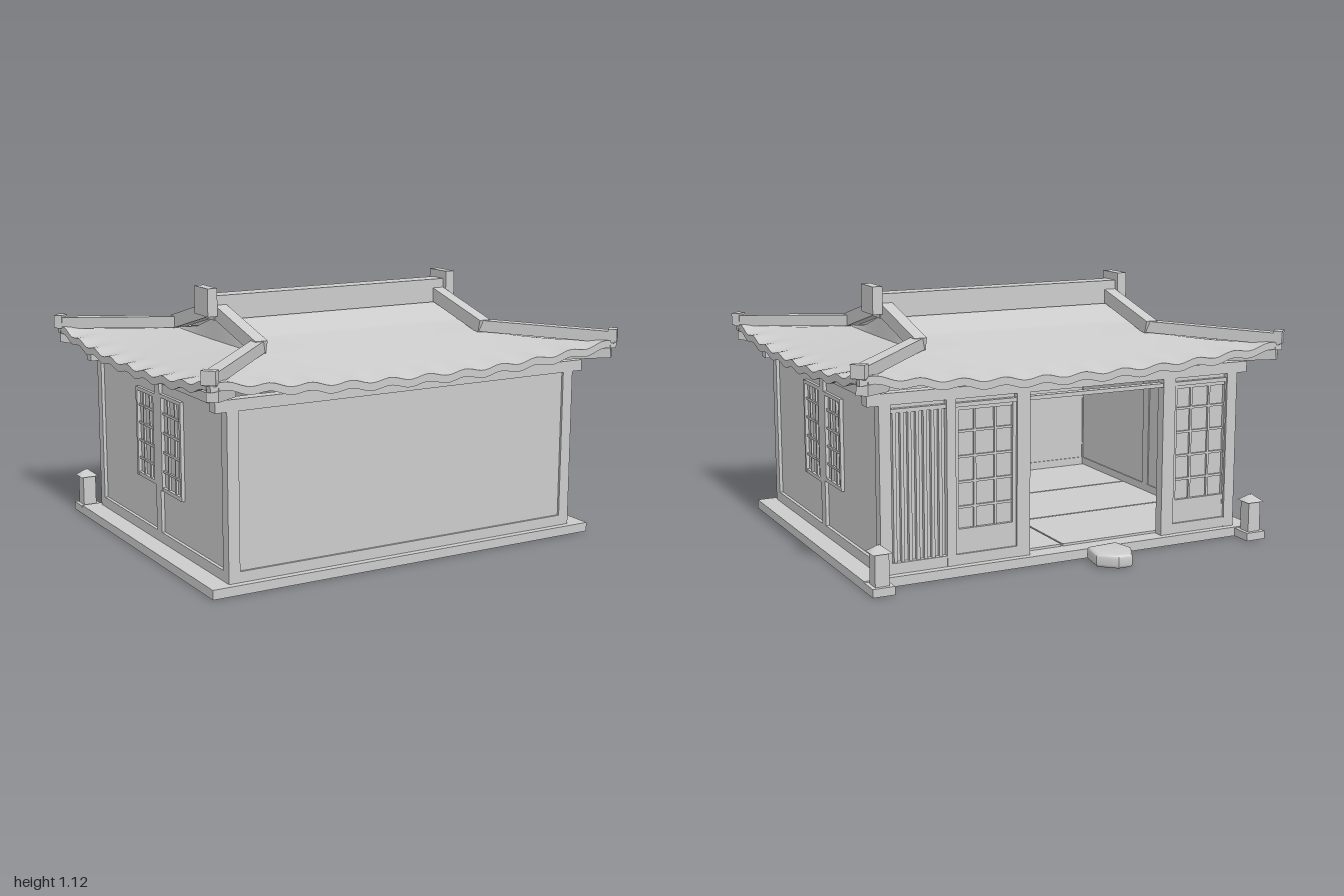
import * as THREE from 'three';
import { toCreasedNormals } from 'three/addons/utils/BufferGeometryUtils.js';

const mat = new THREE.MeshStandardMaterial({ color: 0xcccccc });
const CZ = 0.03; // z of the roof ridge

function add(parent, name, geo) {
  const m = new THREE.Mesh(geo, mat);
  m.name = name;
  parent.add(m);
  return m;
}

// box given by its min and max on each axis
function box(parent, name, x0, x1, y0, y1, z0, z1) {
  const m = add(parent, name, new THREE.BoxGeometry(Math.abs(x1 - x0), y1 - y0, Math.abs(z1 - z0)));
  m.position.set((x0 + x1) / 2, (y0 + y1) / 2, (z0 + z1) / 2);
  return m;
}

// bar running from a to b
function beam(parent, name, a, b, w, h) {
  const A = new THREE.Vector3(...a), B = new THREE.Vector3(...b);
  const m = add(parent, name, new THREE.BoxGeometry(w, h, A.distanceTo(B)));
  m.position.copy(A).add(B).multiplyScalar(0.5);
  m.lookAt(B);
  return m;
}

// framed lattice in the xy plane, facing +z
function lattice(name, w, h, cols, rows, foot = 0) {
  const g = new THREE.Group(), f = 0.016;
  g.name = name;
  box(g, 'paper', -w / 2, w / 2, 0, h, -0.006, 0.002);
  for (const s of [-1, 1]) box(g, 'stile', s * w / 2, s * (w / 2 - f), 0, h, 0, 0.018);
  box(g, 'topRail', -w / 2, w / 2, h - f, h, 0, 0.017);
  box(g, 'bottomRail', -w / 2, w / 2, 0, f + foot, 0, 0.017);
  for (let i = 1; i < cols; i++) {
    const x = -w / 2 + w * i / cols;
    box(g, 'bar', x - 0.005, x + 0.005, foot, h, 0, 0.012);
  }
  for (let j = 1; j < rows; j++) {
    const y = foot + (h - foot) * j / rows;
    box(g, 'crossBar', -w / 2, w / 2, y - 0.005, y + 0.005, 0, 0.011);
  }
  return g;
}

// roof height: concave slopes, gable step, lifted corners, wavy tile rim
const slope = [0.815, 0.85, 0.886, 0.918, 0.99];
function roofY(x, dz) {
  const ax = Math.abs(x), az = Math.abs(dz);
  const ex = 0.97 - ax, ez = 0.8 - az;
  const e = ax > 0.558 ? Math.min(ex, ez) : ez;
  const t = Math.min(e / 0.2, 3.9999), i = Math.floor(t);
  const lift = 0.065 * Math.pow((ax / 0.97) * (az / 0.8), 2.2);
  const along = ex < ez ? dz : x;
  const wave = 0.008 * Math.cos(along * 35) * Math.max(0, 1 - e / 0.12);
  return slope[i] + (slope[i + 1] - slope[i]) * (t - i) + lift + wave;
}

function roofGeometry() {
  const span = (a, b, n) => Array.from({ length: n }, (_, i) => a + (b - a) * i / n);
  const xs = [...span(-0.97, -0.56, 20), -0.56, ...span(-0.555, 0.555, 52), 0.555, ...span(0.56, 0.97, 20), 0.97];
  const zs = [...span(-0.8, -0.39, 20), ...span(-0.39, 0.39, 36), ...span(0.39, 0.8, 20), 0.8];
  const out = [];
  const P = (i, j, k) => [xs[i], roofY(xs[i], zs[j]) - 0.032 * k, zs[j] + CZ];
  const quad = (a, b, c, d, flip) =>
    out.push(...(flip ? [a, b, d, b, c, d] : [a, b, c, a, c, d]).flat());
  const wall = (i, j, m, n) => quad(P(i, j, 0), P(i, j, 1), P(m, n, 1), P(m, n, 0));
  const I = xs.length - 1, J = zs.length - 1;
  for (let i = 0; i < I; i++) for (let j = 0; j < J; j++) {
    const flip = (xs[i] + xs[i + 1]) * (zs[j] + zs[j + 1]) < 0;
    quad(P(i, j, 0), P(i, j + 1, 0), P(i + 1, j + 1, 0), P(i + 1, j, 0), flip);
    quad(P(i, j, 1), P(i + 1, j, 1), P(i + 1, j + 1, 1), P(i, j + 1, 1), flip);
  }
  for (let i = 0; i < I; i++) { wall(i, J, i + 1, J); wall(i + 1, 0, i, 0); }
  for (let j = 0; j < J; j++) { wall(I, j + 1, I, j); wall(0, j, 0, j + 1); }
  const g = new THREE.BufferGeometry();
  g.setAttribute('position', new THREE.Float32BufferAttribute(out, 3));
  return toCreasedNormals(g, 0.5);
}

function buildRoof() {
  const g = new THREE.Group();
  g.name = 'roof';
  add(g, 'tiledRoof', roofGeometry());
  box(g, 'mainRidge', -0.585, 0.585, 0.98, 1.085, CZ - 0.043, CZ + 0.043);
  for (const sx of [-1, 1]) {
    box(g, 'ridgeEnd', sx * 0.58, sx * 0.625, 1.0, 1.12, CZ - 0.066, CZ + 0.066);
    for (const sz of [-1, 1]) {
      const at = (x, y, d) => [sx * x, y, CZ + sz * d];
      beam(g, 'gableRidge', at(0.553, 1.02, 0.02), at(0.553, 0.915, 0.405), 0.055, 0.06);
      beam(g, 'hipRidge', at(0.55, 0.918, 0.38), at(0.97, 0.89, 0.79), 0.055, 0.05);
      beam(g, 'hipEnd', at(0.95, 0.898, 0.77), at(0.977, 0.898, 0.797), 0.06, 0.055);
      beam(g, 'cornerRafter', at(0.81, 0.812, 0.64), at(0.955, 0.83, 0.785), 0.05, 0.055);
    }
  }
  return g;
}

function buildBody() {
  const g = new THREE.Group();
  g.name = 'house';
  box(g, 'platform', -0.925, 0.925, 0, 0.04, -0.66, 0.73);
  // floor boards with narrow seams
  for (let i = 0; i < 2; i++) for (let j = 0; j < 3; j++) {
    const x = -0.8 + i * 0.8, z = -0.58 + j * 0.41;
    box(g, 'floorBoard', x, x + 0.792, 0.035, 0.05, z, z + 0.402);
  }
  // plain front wall and its frame
  box(g, 'frontWall', -0.8, 0.8, 0.04, 0.75, 0.655, 0.69);
  box(g, 'frontSill', -0.84, 0.84, 0.04, 0.085, 0.65, 0.7);
  box(g, 'frontBeam', -0.89, 0.89, 0.73, 0.778, 0.65, 0.7);
  box(g, 'backBeam', -0.89, 0.89, 0.73, 0.778, -0.63, -0.58);
  // side walls with a pair of windows each
  for (const s of [-1, 1]) {
    box(g, 'sideWall', s * 0.795, s * 0.825, 0.04, 0.75, -0.6, 0.68);
    box(g, 'sideSill', s * 0.79, s * 0.84, 0.04, 0.085, -0.63, 0.7);
    box(g, 'sideBeam', s * 0.79, s * 0.84, 0.735, 0.775, -0.63, 0.7);
    for (const [z0, z1] of [[0.65, 0.7], [0.01, 0.06], [-0.63, -0.585]])
      box(g, 'sidePost', s * 0.79, s * 0.84, 0.04, 0.75, z0, z1);
    for (const [z0, z1, y0, y1] of [[0.06, 0.27, 0.27, 0.69], [-0.19, 0.01, 0.285, 0.68]]) {
      const w = lattice('sideWindow', z1 - z0, y1 - y0, 3, 5);
      w.position.set(s * 0.822, y0, (z0 + z1) / 2);
      w.rotation.y = s * Math.PI / 2;
      g.add(w);
    }
  }
  // open back: posts, lintel, slatted bay, doors
  for (const [x0, x1] of [[0.51, 0.55], [0.175, 0.235], [-0.525, -0.465]])
    box(g, 'backPost', x0, x1, 0.04, 0.74, -0.63, -0.585);
  for (const [x0, x1] of [[0.2, 0.84], [-0.84, -0.5]])
    box(g, 'backSill', x0, x1, 0.04, 0.085, -0.628, -0.585);
  box(g, 'backLintel', -0.8, 0.8, 0.695, 0.712, -0.625, -0.59);
  box(g, 'slatBacking', 0.54, 0.8, 0.05, 0.74, -0.605, -0.59);
  for (let i = 0; i < 7; i++) {
    const x = 0.575 + i * 0.033;
    box(g, 'slat', x - 0.007, x + 0.007, 0.08, 0.7, -0.622, -0.6);
  }
  for (const [x0, x1] of [[0.235, 0.51], [-0.8, -0.525]]) {
    const d = lattice('latticeDoor', x1 - x0, 0.615, 3, 5, 0.09);
    d.position.set((x0 + x1) / 2, 0.082, -0.602);
    d.rotation.y = Math.PI;
    g.add(d);
    box(g, 'doorHead', x0, x1, 0.7, 0.74, -0.605, -0.59);
  }
  return g;
}

// stone lamp post with a pyramid cap
function buildLantern() {
  const g = new THREE.Group();
  g.name = 'lantern';
  box(g, 'lanternBase', -0.047, 0.047, 0, 0.035, -0.047, 0.047);
  box(g, 'lanternPost', -0.03, 0.03, 0.03, 0.172, -0.03, 0.03);
  const cap = add(g, 'lanternCap', new THREE.ConeGeometry(0.058, 0.032, 4).rotateY(Math.PI / 4));
  cap.position.y = 0.184;
  return g;
}

// rounded stepping stone
function buildStone() {
  const pts = [[-0.2, 0.69], [-0.215, 0.77], [-0.175, 0.845], [-0.125, 0.845], [-0.065, 0.79], [-0.08, 0.7]];
  const shape = new THREE.Shape(pts.map(p => new THREE.Vector2(...p)));
  const geo = new THREE.ExtrudeGeometry(shape, {
    depth: 0.03, bevelThickness: 0.015, bevelSize: 0.015, bevelSegments: 3,
  });
  geo.rotateX(-Math.PI / 2).translate(0, 0.015, 0);
  return toCreasedNormals(geo, 0.7);
}

export function createModel() {
  const model = new THREE.Group();
  model.name = 'pavilion';
  model.add(buildBody(), buildRoof());
  for (const s of [-1, 1]) {
    const l = buildLantern();
    l.position.set(s * 0.878, 0, -0.708);
    model.add(l);
  }
  add(model, 'stepStone', buildStone());
  return model;
}
